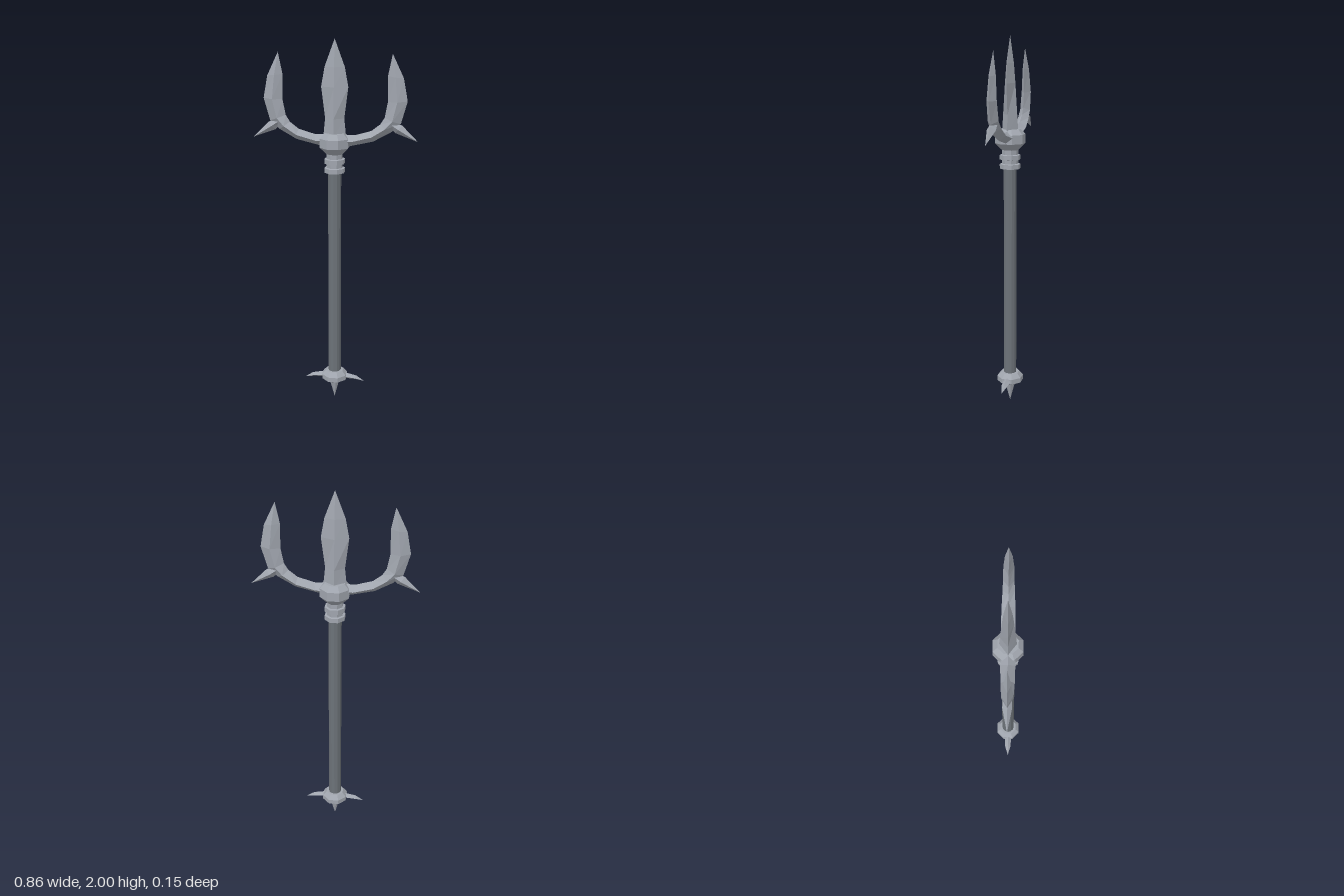
import * as THREE from 'three';

const steel = new THREE.MeshStandardMaterial({ name: 'steel', color: 0xa0a5ae, flatShading: true });
const darkShaft = new THREE.MeshStandardMaterial({ name: 'dark shaft', color: 0x6c7278, flatShading: true });

// Diamond-section loft. Each section: [leftX, leftY, rightX, rightY, halfDepth],
// where left and right are as seen looking along the path; the last is the tip.
function bladeGeometry(sections) {
  const rings = sections.map(([ax, ay, bx, by, d]) => {
    const mx = (ax + bx) / 2, my = (ay + by) / 2;
    return [[ax, ay, 0], [mx, my, d], [bx, by, 0], [mx, my, -d]];
  });
  const pos = [];
  const tri = (...pts) => pts.forEach((p) => pos.push(...p));
  const first = rings[0];
  tri(first[0], first[2], first[1]);
  tri(first[0], first[3], first[2]);
  for (let i = 0; i < rings.length - 1; i++) {
    const r = rings[i], n = rings[i + 1], last = i === rings.length - 2;
    for (let j = 0; j < 4; j++) {
      const k = (j + 1) % 4;
      tri(r[j], r[k], n[k]);
      if (!last) tri(r[j], n[k], n[j]);
    }
  }
  const g = new THREE.BufferGeometry();
  g.setAttribute('position', new THREE.Float32BufferAttribute(pos, 3));
  g.computeVertexNormals();
  return g;
}

const mirror = (sections) => sections.map(([ax, ay, bx, by, d]) => [-bx, by, -ax, ay, d]);

export function createModel() {
  const group = new THREE.Group();
  const add = (name, geometry, material = steel) => {
    const mesh = new THREE.Mesh(geometry, material);
    mesh.name = name;
    group.add(mesh);
  };
  // Octagonal turned part with a flat side to the front
  const turned = (name, profile) => add(name, new THREE.LatheGeometry(
    profile.map(([r, y]) => new THREE.Vector2(r, y)), 8, Math.PI / 8));

  // Shaft
  const shaft = new THREE.CylinderGeometry(0.035, 0.035, 1.22, 12);
  shaft.translate(0, 0.75, 0);
  add('shaft', shaft, darkShaft);

  // Neck with two rings
  turned('neck', [[0, 1.315], [0.043, 1.315], [0.043, 1.43]]);
  for (const y of [1.328, 1.376]) {
    turned('neckRing', [[0.04, y - 0.015], [0.055, y - 0.012], [0.055, y + 0.012], [0.04, y + 0.015]]);
  }

  // Collar under the blades
  turned('collar', [[0, 1.415], [0.045, 1.415], [0.08, 1.45], [0.08, 1.497], [0.055, 1.523], [0, 1.523]]);

  // Pommel and bottom point
  turned('pommel', [[0, 0.105], [0.04, 0.105], [0.072, 0.122], [0.072, 0.148], [0.05, 0.172], [0, 0.172]]);
  turned('bottomPoint', [[0, 0], [0.029, 0.108]]);

  // Centre blade
  add('centreBlade', bladeGeometry([
    [-0.06, 1.5, 0.06, 1.5, 0.044],
    [-0.05, 1.6, 0.05, 1.6, 0.038],
    [-0.07, 1.76, 0.07, 1.76, 0.028],
    [-0.052, 1.86, 0.052, 1.86, 0.02],
    [0, 2, 0, 2, 0],
  ]));

  // Curved side prong, from the collar out and up to its tip
  const prong = [
    [0.03, 1.515, 0.03, 1.455, 0.036],
    [0.105, 1.515, 0.085, 1.458, 0.036],
    [0.19, 1.54, 0.2, 1.485, 0.034],
    [0.235, 1.575, 0.29, 1.535, 0.03],
    [0.257, 1.61, 0.34, 1.58, 0.028],
    [0.272, 1.69, 0.372, 1.695, 0.026],
    [0.27, 1.82, 0.35, 1.81, 0.018],
    [0.292, 1.93, 0.292, 1.93, 0],
  ];
  // Barb on the outside of the prong
  const barb = [
    [0.305, 1.59, 0.285, 1.56, 0.02],
    [0.348, 1.572, 0.312, 1.533, 0.023],
    [0.43, 1.49, 0.43, 1.49, 0],
  ];
  // Drooping spike on the pommel
  const spike = [
    [0.045, 0.158, 0.045, 0.12, 0.022],
    [0.125, 0.14, 0.115, 0.118, 0.016],
    [0.168, 0.11, 0.168, 0.11, 0],
  ];
  for (const [name, sections] of Object.entries({ Prong: prong, Barb: barb, PommelSpike: spike })) {
    add('left' + name, bladeGeometry(sections));
    add('right' + name, bladeGeometry(mirror(sections)));
  }

  return group;
}
